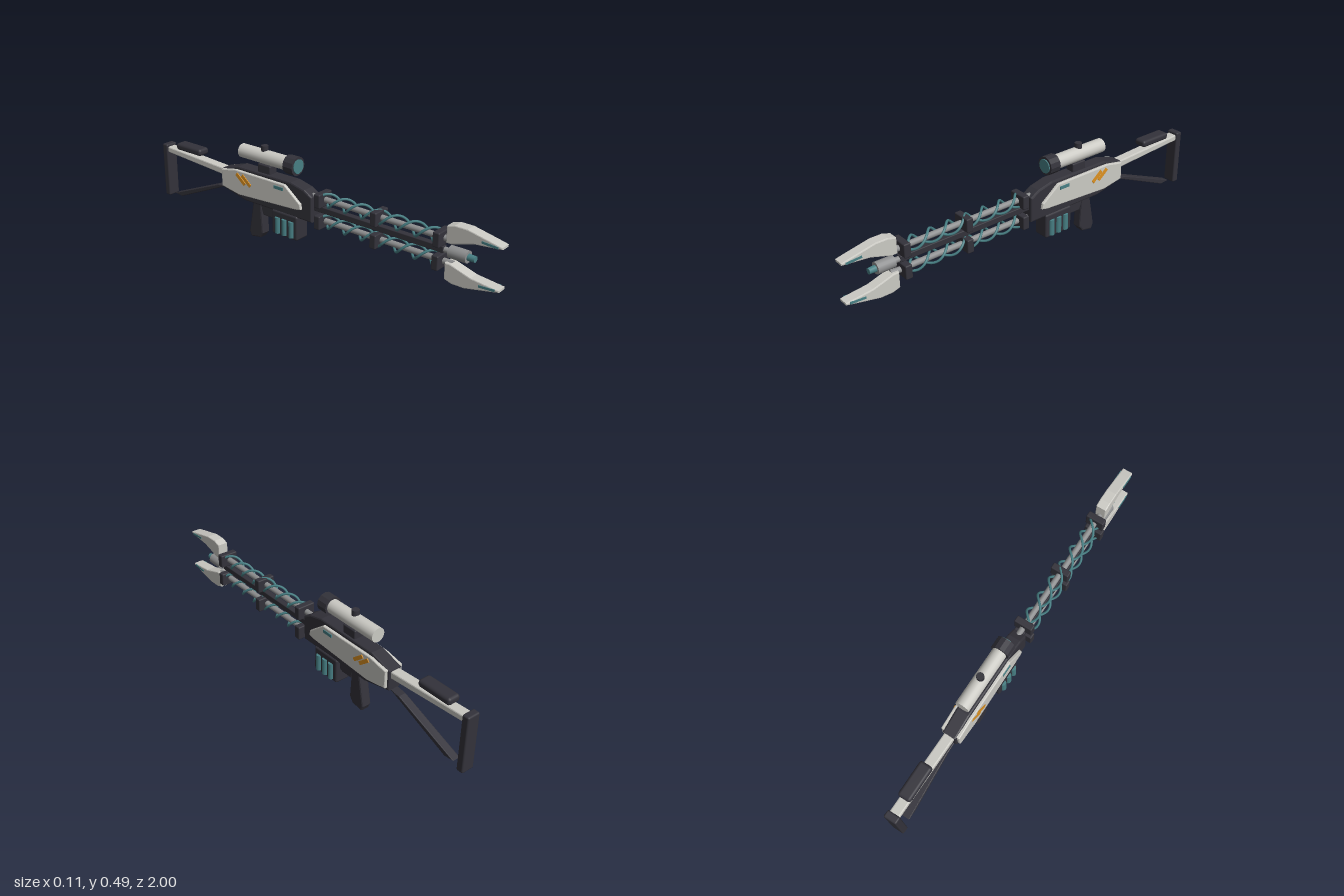
import * as THREE from 'three';
import { RoundedBoxGeometry } from 'three/addons/geometries/RoundedBoxGeometry.js';

const mat = (name, color) => {
  const m = new THREE.MeshStandardMaterial({ color });
  m.name = name;
  return m;
};

export function createModel() {
  const dark = mat('charcoal', 0x33323a);
  const light = mat('off white', 0xcbcac4);
  const grey = mat('steel grey', 0x8e8f90);
  const teal = mat('teal', 0x477f84);
  const orange = mat('orange', 0xdd9222);
  const root = new THREE.Group();
  root.name = 'rifle';

  const add = (name, geo, material, x = 0, y = 0, z = 0) => {
    const m = new THREE.Mesh(geo, material);
    m.name = name;
    m.position.set(x, y, z);
    root.add(m);
    return m;
  };
  const box = (name, material, w, h, d, x, y, z, r = 0.008) =>
    add(name, new RoundedBoxGeometry(w, h, d, 2, r), material, x, y, z);
  const plate = (name, material, w, h, d, x, y, z) =>
    add(name, new THREE.BoxGeometry(w, h, d), material, x, y, z);
  // cylinder along z between two depths
  const rod = (name, material, r, z0, z1, y, sides = 20, r2 = r) =>
    add(name, new THREE.CylinderGeometry(r2, r, z1 - z0, sides).rotateX(Math.PI / 2), material, 0, y, (z0 + z1) / 2);
  // side outline of (z, y) points, given a bevelled thickness across x
  const slab = (name, material, pts, width, bevel, x = 0) => {
    const shape = new THREE.Shape(pts.map(([z, y]) => new THREE.Vector2(z, y)));
    const depth = width - 2 * bevel;
    const geo = new THREE.ExtrudeGeometry(shape, {
      depth, bevelEnabled: true, bevelThickness: bevel, bevelSize: bevel,
      bevelOffset: -bevel, bevelSegments: 2,
    });
    geo.translate(0, 0, -depth / 2).rotateY(-Math.PI / 2);
    return add(name, geo, material, x);
  };

  // receiver and its side panels
  slab('receiver', dark, [
    [0.025, 0.19], [0.025, 0.315], [-0.02, 0.343], [-0.1, 0.362], [-0.44, 0.36],
    [-0.555, 0.325], [-0.555, 0.225], [-0.4, 0.19],
  ], 0.07, 0.008);
  for (const s of [-1, 1]) {
    slab('sidePanel', light, [
      [-0.03, 0.245], [-0.035, 0.272], [-0.13, 0.345], [-0.45, 0.345],
      [-0.545, 0.326], [-0.545, 0.238], [-0.43, 0.218], [-0.06, 0.238],
    ], 0.022, 0.005, s * 0.038);
    plate('panelLight', teal, 0.006, 0.015, 0.058, s * 0.05, 0.322, -0.165);
    for (const z of [-0.375, -0.412]) {
      plate('panelStripe', orange, 0.006, 0.018, 0.07, s * 0.05, 0.305, z).rotation.x = 0.68;
    }
  }

  // power magazine with cells on both sides
  box('magazine', dark, 0.082, 0.125, 0.16, 0, 0.135, -0.14, 0.01);
  for (const s of [-1, 1]) {
    for (let i = 0; i < 3; i++) {
      add('powerCell', new THREE.CylinderGeometry(0.015, 0.015, 0.082, 14), teal, s * 0.039, 0.125, -0.095 - i * 0.043);
    }
  }
  // trigger block and grip
  slab('triggerBlock', dark, [[-0.21, 0.2], [-0.21, 0.15], [-0.235, 0.138], [-0.295, 0.138], [-0.315, 0.2]], 0.04, 0.005);
  slab('grip', dark, [
    [-0.305, 0.205], [-0.355, 0.205], [-0.388, 0.03], [-0.375, 0.002], [-0.315, 0.012], [-0.295, 0.04],
  ], 0.05, 0.008);

  // stock
  slab('stockTube', light, [[-0.54, 0.284], [-0.54, 0.32], [-0.97, 0.342], [-0.97, 0.312]], 0.05, 0.006);
  slab('stockStrut', dark, [[-0.55, 0.226], [-0.605, 0.22], [-0.935, 0.088], [-0.885, 0.082], [-0.59, 0.207]], 0.04, 0.004);
  box('cheekPad', dark, 0.066, 0.036, 0.178, 0, 0.362, -0.805, 0.014);
  box('buttPlate', dark, 0.066, 0.285, 0.036, 0, 0.212, -0.982, 0.008);

  // scope
  box('scopeMount', dark, 0.05, 0.055, 0.08, 0, 0.375, -0.28, 0.006);
  rod('scopeTube', light, 0.035, -0.44, -0.13, 0.435);
  const ring = rod('scopeRing', dark, 0.046, -0.142, -0.085, 0.435, 12);
  ring.geometry = ring.geometry.toNonIndexed();
  ring.geometry.computeVertexNormals();
  rod('scopeLens', teal, 0.035, -0.09, -0.08, 0.435, 12);
  add('scopeKnob', new THREE.CylinderGeometry(0.018, 0.018, 0.03, 14), dark, 0, 0.477, -0.293);

  // twin barrels, coils, clamps and prongs
  const mid = 0.26;
  for (const s of [1, -1]) {
    const y = mid + s * 0.053;
    rod('barrel', grey, 0.014, 0, 0.77, y);
    for (const phase of [0, Math.PI]) {
      const pts = [];
      for (let i = 0; i <= 80; i++) {
        const z = 0.06 + (0.645 * i) / 80;
        const a = ((z - 0.19) * 2 * Math.PI) / 0.19 + phase;
        pts.push(new THREE.Vector3(0.031 * Math.sin(a), y + 0.031 * Math.cos(a), z));
      }
      add('coil', new THREE.TubeGeometry(new THREE.CatmullRomCurve3(pts), 160, 0.006, 7), teal);
    }
    for (const z of [0.065, 0.383, 0.705]) {
      box('barrelClamp', dark, 0.094, 0.068, 0.034, 0, y, z, 0.006);
    }
    const outline = [
      [1, 0.09], [1, 0.1], [0.96, 0.109], [0.84, 0.134], [0.78, 0.134],
      [0.742, 0.122], [0.742, 0.045], [0.77, 0.045], [0.87, 0.076],
    ].map(([z, d]) => [z, mid + s * d]);
    slab('prong', light, outline, 0.054, 0.005);
    for (const side of [-1, 1]) {
      plate('prongInlay', teal, 0.006, 0.01, 0.075, side * 0.027, mid + s * 0.0965, 0.945).rotation.x = s * 0.06;
    }
  }

  // central rail and emitter
  box('centreRail', dark, 0.03, 0.03, 0.71, 0, mid + 0.002, 0.37, 0.004);
  rod('emitterNeck', grey, 0.013, 0.7, 0.77, mid);
  rod('emitter', grey, 0.028, 0.752, 0.838, mid);
  rod('emitterTip', teal, 0.016, 0.83, 0.872, mid, 16, 0.014);

  return root;
}
